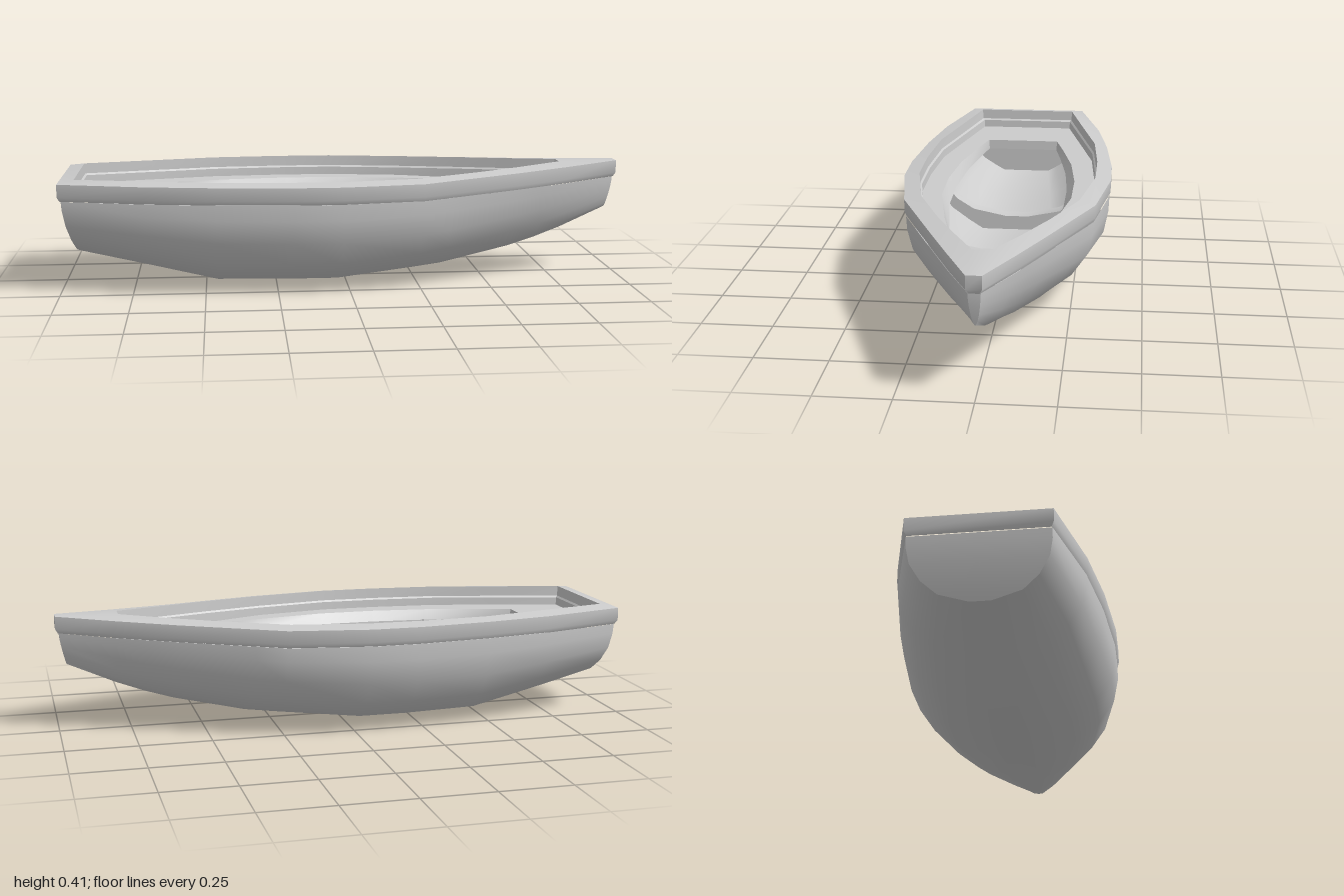
import * as THREE from 'three';
import { toCreasedNormals } from 'three/addons/utils/BufferGeometryUtils.js';

// Linear lookup in a short [x, value] table
function lookup(table, x) {
  for (let i = 1; i < table.length; i++) {
    const [x0, v0] = table[i - 1], [x1, v1] = table[i];
    if (x <= x1 || i === table.length - 1) {
      return v0 + (v1 - v0) * THREE.MathUtils.clamp((x - x0) / (x1 - x0), 0, 1);
    }
  }
}

// Surface through rows of points; faces look along (row direction) x (row to row)
function loft(name, rows, closed, crease) {
  const n = rows[0].length, pos = [], index = [];
  rows.forEach(r => r.forEach(p => pos.push(...p)));
  for (let r = 0; r < rows.length - 1; r++) {
    for (let i = 0; i < (closed ? n : n - 1); i++) {
      const a = r * n + i, b = r * n + (i + 1) % n;
      index.push(a, b, b + n, a, b + n, a + n);
    }
  }
  const g = new THREE.BufferGeometry();
  g.setAttribute('position', new THREE.Float32BufferAttribute(pos, 3));
  g.setIndex(index);
  const mesh = new THREE.Mesh(toCreasedNormals(g, crease), new THREE.MeshStandardMaterial({ color: 0xcccccc }));
  mesh.name = name;
  return mesh;
}

// Plan outlines of one side, stern to bow: [x, half width]
const OUTER = [[-1, 0.23], [-0.7, 0.31], [-0.46, 0.35], [-0.2, 0.375], [-0.03, 0.375], [0.25, 0.33], [0.6, 0.188], [0.8, 0.107], [1, 0.025]];
const INNER = [[-0.945, 0.19], [-0.7, 0.247], [-0.47, 0.302], [-0.23, 0.32], [-0.03, 0.32], [0.23, 0.274], [0.45, 0.188], [0.62, 0.11], [0.785, 0.03]];
const HOLE = [[-0.73, 0.14], [-0.6, 0.173], [-0.41, 0.215], [-0.2, 0.237], [0, 0.235], [0.25, 0.19], [0.42, 0.15], [0.51, 0.1], [0.54, 0.03]];
// Lower edge of the opening, leaning inwards amidships
const LIP = HOLE.map(([x, w]) => [x, w - 0.27 * Math.max(0, w - 0.14)]);

// Keel height, sheer rise and sharpness of the section along the boat
const KEEL = [[-1, 0.113], [-0.94, 0.113], [-0.7, 0.06], [-0.46, 0.004], [-0.2, 0], [-0.03, 0], [0.25, 0.033], [0.35, 0.045], [0.6, 0.1], [0.7, 0.13], [1, 0.24]];
const SHEER = [[0.25, 0], [0.6, 0.01], [0.8, 0.018], [1, 0.028]];
const VEE = [[-1, 0], [-0.03, 0], [0.25, 0.15], [0.6, 0.6], [0.8, 1], [1, 1]];

// Half section: height fraction, width amidships, width in the bow
const SECTION = [[1, 1, 1], [0.83, 0.998, 0.95], [0.58, 0.955, 0.82], [0.325, 0.805, 0.61], [0.125, 0.58, 0.36], [0, 0.15, 0.08]];
const FLAT_FLOOR = [...SECTION.slice(0, 5), [0, 0.42, 0.2]];

// Closed plan ring from a half outline
function ring(outline, y, inset = 0, sheer = true) {
  const side = outline.map(([x, w], i) => {
    const end = i === 0 ? inset : i === outline.length - 1 ? -inset : 0;
    return [x + end, y + (sheer ? lookup(SHEER, x) : 0), Math.max(w - inset, 0.012)];
  });
  return [...side, ...mirror(side)];
}

// Same points on the other side, in reverse order
function mirror(points) {
  return points.slice().reverse().map(([x, y, z]) => [x, y, -z]);
}

// Outer cross-section from left gunwale to right gunwale; stern and stem are raked
function section(x) {
  const w = lookup(OUTER, x) - 0.005, k = lookup(KEEL, x), t = 0.325 + lookup(SHEER, x), v = lookup(VEE, x);
  const half = SECTION.map(([h, mid, bow]) => {
    const rake = (1 - h) ** 1.5;
    const px = x === -1 ? -0.988 + 0.048 * rake : x === 1 ? 0.988 - 0.022 * rake : x;
    return [px, k + h * (t - k), w * (mid + (bow - mid) * v)];
  });
  return [...half, ...mirror(half)];
}

// Inner cross-section, inset at the sides and raised at the keel
function innerSection(x, inset, raise, profile) {
  const w = Math.max(lookup(OUTER, x) - inset, 0.01);
  const k = lookup(KEEL, x) + raise, t = 0.305, v = lookup(VEE, x);
  const half = profile.map(([h, mid, bow]) => [x, k + h * (t - k), w * (mid + (bow - mid) * v)]);
  return [...half, ...mirror(half)];
}

// Row folded onto the centre line, to close an end
const cap = row => row.map(([x, y]) => [x, y, 0]);
const capBoth = rows => [cap(rows[0]), ...rows, cap(rows[rows.length - 1])];

export function createModel() {
  const boat = new THREE.Group();
  boat.name = 'rowingBoat';

  // Outer skin with transom and stem
  const skinX = [-1, -0.7, -0.46, -0.2, -0.03, 0.25, 0.35, 0.6, 0.7, 0.8, 1];
  boat.add(loft('hull', capBoth(skinX.map(section)), false, 0.75));

  // Inner skin with a flat floor, facing inwards
  const liningX = [0.8, 0.7, 0.6, 0.45, 0.25, -0.03, -0.2, -0.46, -0.7, -0.9];
  boat.add(loft('innerHull', capBoth(liningX.map(x => innerSection(x, 0.035, 0.04, FLAT_FLOOR))), false, 0.75));

  // Gunwale: chamfer, outer band, sloping top, stepped inner wall
  boat.add(loft('gunwale', [
    ring(OUTER, 0.325, 0.008), ring(OUTER, 0.34), ring(OUTER, 0.385),
    ring(INNER, 0.395), ring(INNER, 0.358, 0.002),
    ring(INNER, 0.352, 0.008), ring(INNER, 0.324, 0.01, false),
  ], true, 0.65));

  // Side benches: one ledge with a long opening
  boat.add(loft('benchLedge', [
    ring(INNER, 0.324, 0.01, false), ring(HOLE, 0.324, 0, false),
    ring(LIP, 0.288, 0.002, false), ring(INNER, 0.288, 0, false),
  ], true, 0.45));

  // Ribs: frames that thicken from the sides down to the keel
  for (const x of [-0.452, -0.018, 0.432]) {
    const a = x - 0.022, b = x + 0.022;
    boat.add(loft('rib', [
      innerSection(b, 0.03, 0.035, FLAT_FLOOR), innerSection(b, 0.06, 0.095, SECTION),
      innerSection(a, 0.06, 0.095, SECTION), innerSection(a, 0.03, 0.035, FLAT_FLOOR),
    ], false, 0.75));
  }
  return boat;
}
